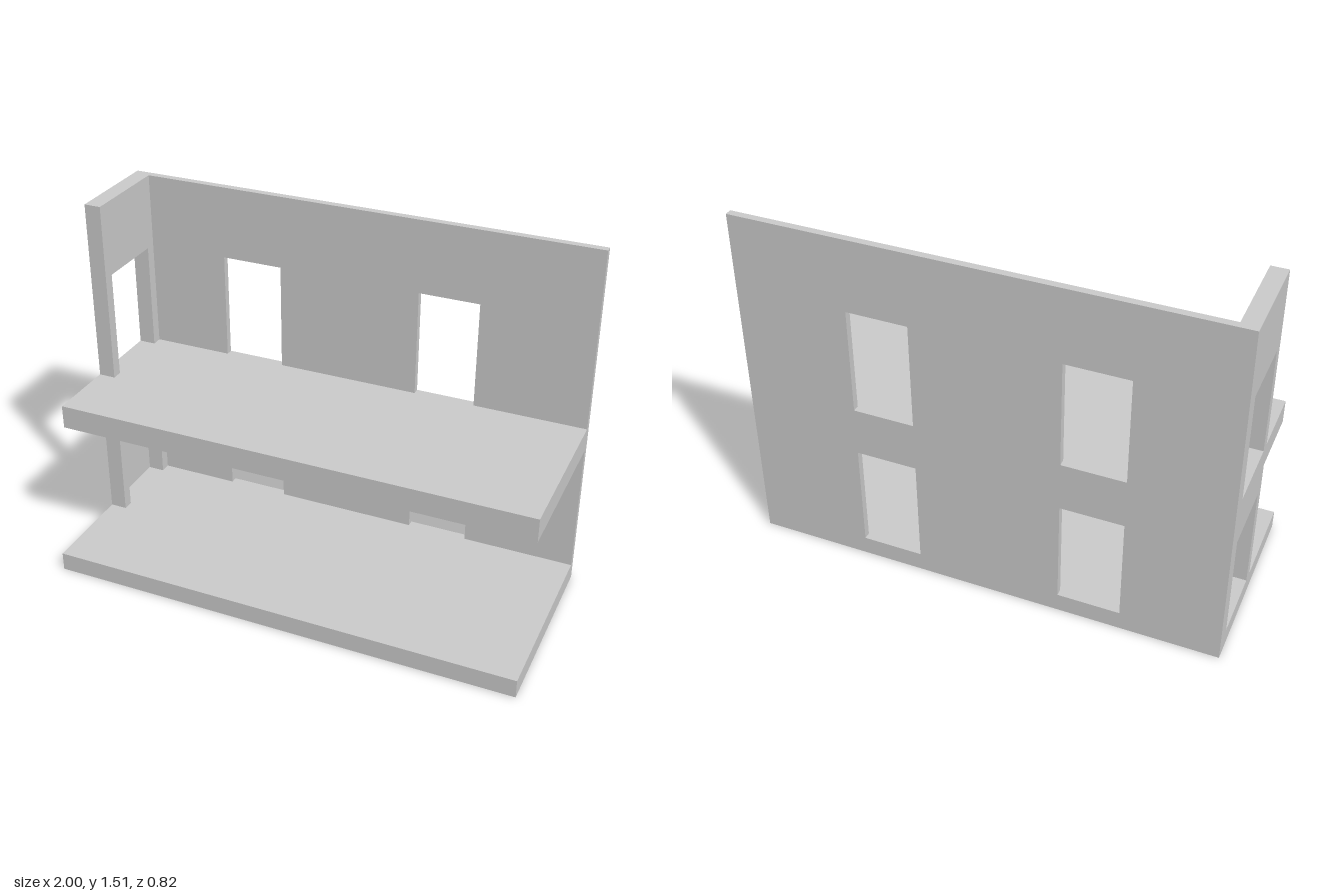
import * as THREE from 'three';

const material = new THREE.MeshStandardMaterial({ color: 0xcccccc, flatShading: true });

// Main levels and depths
const BACK = -0.41, INNER = -0.38, SIDE_FRONT = 0.005;
const GROUND_TOP = 0.08, UPPER_BOTTOM = 0.645, UPPER_TOP = 0.745, TOP = 1.51;
const storeys = [
  { name: 'lower', bottom: GROUND_TOP, top: UPPER_BOTTOM, head: 0.535 },
  { name: 'upper', bottom: UPPER_TOP, top: TOP, head: 1.2 },
];

function addMesh(group, name, geometry) {
  const mesh = new THREE.Mesh(geometry, material);
  mesh.name = name;
  group.add(mesh);
}

function polygon(points) {
  return points.map(([x, y]) => new THREE.Vector2(x, y));
}

function rect(x0, x1, y0, y1) {
  return polygon([[x0, y0], [x1, y0], [x1, y1], [x0, y1]]);
}

// Floor slab reaching forward from the back wall
function addSlab(group, name, y0, y1, front) {
  const geometry = new THREE.BoxGeometry(2, y1 - y0, front - INNER);
  geometry.translate(0, (y0 + y1) / 2, (front + INNER) / 2);
  addMesh(group, name, geometry);
}

export function createModel() {
  const group = new THREE.Group();
  group.name = 'buildingSection';

  addSlab(group, 'groundFloor', 0, GROUND_TOP, 0.41);
  addSlab(group, 'upperFloor', UPPER_BOTTOM, UPPER_TOP, 0.3);

  // Back wall with two openings on each storey
  const wall = new THREE.Shape(rect(-1, 1, 0, TOP));
  for (const { bottom, head } of storeys) {
    for (const [x0, x1] of [[-0.59, -0.33], [0.275, 0.53]]) {
      wall.holes.push(new THREE.Path(rect(x0, x1, bottom, head).reverse()));
    }
  }
  const back = new THREE.ExtrudeGeometry(wall, { depth: INNER - BACK, bevelEnabled: false });
  back.translate(0, 0, BACK);
  addMesh(group, 'backWall', back);

  // Side wall: one doorway arch per storey, drawn in z and y
  for (const { name, bottom, top, head } of storeys) {
    const shape = new THREE.Shape(polygon([
      [INNER, bottom], [-0.335, bottom], [-0.335, head], [-0.04, head],
      [-0.04, bottom], [SIDE_FRONT, bottom], [SIDE_FRONT, top], [INNER, top],
    ]));
    const side = new THREE.ExtrudeGeometry(shape, { depth: 0.07, bevelEnabled: false });
    side.rotateY(-Math.PI / 2).translate(-0.93, 0, 0);
    addMesh(group, name + 'SideWall', side);
  }

  return group;
}
